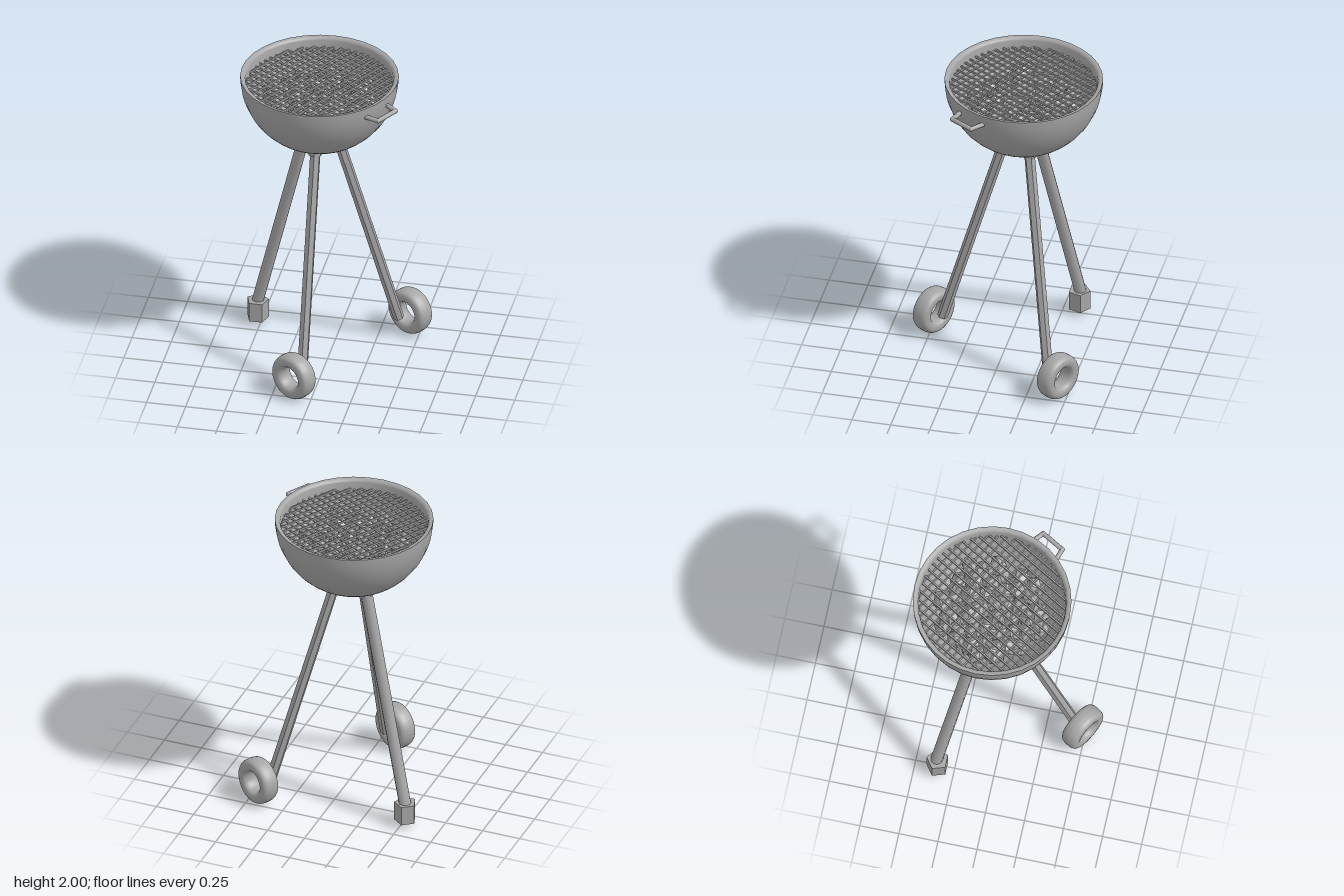
import * as THREE from 'three';
import { toCreasedNormals } from 'three/addons/utils/BufferGeometryUtils.js';

const V = (x, y, z) => new THREE.Vector3(x, y, z);

// Small seeded generator for the coals
function seeded(seed) {
  let s = seed;
  return () => (s = (s * 16807) % 2147483647) / 2147483647;
}

export function createModel() {
  const grey = new THREE.MeshStandardMaterial({ color: 0xa6a6a6 });
  grey.name = 'greyMetal';
  const model = new THREE.Group();
  model.name = 'kettleGrill';

  // Everything is arranged around the bowl's own axis
  const grill = new THREE.Group();
  grill.name = 'grill';
  grill.position.set(-0.073, 0, -0.103);
  model.add(grill);

  const add = (name, geo, parent = grill) => {
    const mesh = new THREE.Mesh(geo, grey);
    mesh.name = name;
    parent.add(mesh);
    return mesh;
  };

  // Straight rod between two points
  const rod = (name, a, b, ra, rb, sides, parent) => {
    const geo = new THREE.CylinderGeometry(rb, ra, a.distanceTo(b), sides);
    const mesh = add(name, toCreasedNormals(geo, 1.0), parent);
    mesh.position.copy(a).lerp(b, 0.5);
    mesh.quaternion.setFromUnitVectors(V(0, 1, 0), b.clone().sub(a).normalize());
    return mesh;
  };

  // Bowl: hemispherical shell with a softened rim
  const profile = [];
  const steps = 16;
  for (let i = 0; i <= steps; i++) {
    const a = (i / steps) * Math.PI / 2;
    profile.push(new THREE.Vector2(0.497 * Math.sin(a), 2 - 0.49 * Math.cos(a)));
  }
  profile.push(new THREE.Vector2(0.482, 2), new THREE.Vector2(0.468, 1.992));
  for (let i = steps; i >= 0; i--) {
    const a = (i / steps) * Math.PI / 2;
    profile.push(new THREE.Vector2(0.464 * Math.sin(a), 1.98 - 0.44 * Math.cos(a)));
  }
  add('bowl', toCreasedNormals(new THREE.LatheGeometry(profile, 32), 0.8));

  // Grate: two crossed layers of bars, aligned with the handle
  const grate = new THREE.Group();
  grate.name = 'grate';
  grate.position.y = 1.93;
  grate.rotation.y = -Math.PI / 6;
  grill.add(grate);
  const pitch = 0.047;
  for (let i = -9; i <= 9; i++) {
    const d = i * pitch;
    const half = Math.sqrt(0.46 ** 2 - d * d);
    rod('grateBar', V(-half, -0.004, d), V(half, -0.004, d), 0.008, 0.008, 5, grate);
    rod('grateBar', V(d, 0.004, -half), V(d, 0.004, half), 0.008, 0.008, 5, grate);
  }

  // Coals heaped under the grate in a sunflower pattern
  const coals = new THREE.Group();
  coals.name = 'coals';
  grill.add(coals);
  const rnd = seeded(71);
  for (let i = 0; i < 42; i++) {
    const r = 0.33 * Math.sqrt((i + 0.5) / 42);
    const a = i * 2.4;
    const coal = add('coal', new THREE.IcosahedronGeometry(0.06 + 0.025 * rnd(), 0), coals);
    coal.position.set(r * Math.cos(a), 1.855 - 0.06 * rnd(), r * Math.sin(a));
    coal.rotation.set(rnd() * 6, rnd() * 6, rnd() * 6);
    coal.scale.set(1, 0.8 + 0.3 * rnd(), 0.8 + 0.3 * rnd());
  }

  // Handle: square-cornered loop on the rim
  const handle = new THREE.Group();
  handle.name = 'handle';
  handle.position.y = 1.934;
  handle.rotation.y = -Math.PI / 6;
  grill.add(handle);
  const corners = [V(0.465, 0, -0.1), V(0.566, 0, -0.08), V(0.566, 0, 0.08), V(0.465, 0, 0.1)];
  for (let i = 0; i < 3; i++) {
    rod('handleBar', corners[i], corners[i + 1], 0.015, 0.015, 8, handle);
  }
  for (const c of corners.slice(1, 3)) {
    add('handleCorner', new THREE.SphereGeometry(0.016, 10, 8), handle).position.copy(c);
  }

  // Three splayed legs with collars under the bowl
  const legTop = 1.53, legBottom = 0.135;
  for (const deg of [90, 210, 330]) {
    const a = deg * Math.PI / 180;
    const at = (r, y) => V(r * Math.cos(a), y, r * Math.sin(a));
    const isFootLeg = deg === 210;
    const radius = isFootLeg ? 0.038 : 0.034;
    rod('leg', at(0.523, legBottom), at(0.12, legTop), radius, radius, isFootLeg ? 10 : 6);
    rod('legCollar', at(0.131, 1.495), at(0.118, 1.54), 0.042, 0.054, 6);
  }

  // Five-sided foot on the leg without a wheel
  const foot = add('foot', toCreasedNormals(new THREE.CylinderGeometry(0.071, 0.071, 0.13, 5), 0.5));
  foot.position.set(-0.449, 0.095, -0.252);
  foot.rotation.y = Math.PI;

  // Open ring wheels sharing one axle line
  const tyre = [];
  for (let i = 0; i <= 20; i++) {
    const a = (i / 20) * Math.PI * 2;
    const c = Math.cos(a), s = Math.sin(a);
    tyre.push(new THREE.Vector2(
      0.109 + 0.041 * Math.sign(c) * Math.abs(c) ** 0.75,
      0.06 * Math.sign(s) * Math.abs(s) ** 0.75));
  }
  const wheelGeo = new THREE.LatheGeometry(tyre, 32);
  const axle = V(-0.5, 0, 0.866);
  for (const [x, z] of [[-0.04, 0.588], [0.51, -0.339]]) {
    const wheel = add('wheel', wheelGeo);
    wheel.position.set(x, 0.15, z);
    wheel.quaternion.setFromUnitVectors(V(0, 1, 0), axle);
  }

  return model;
}
